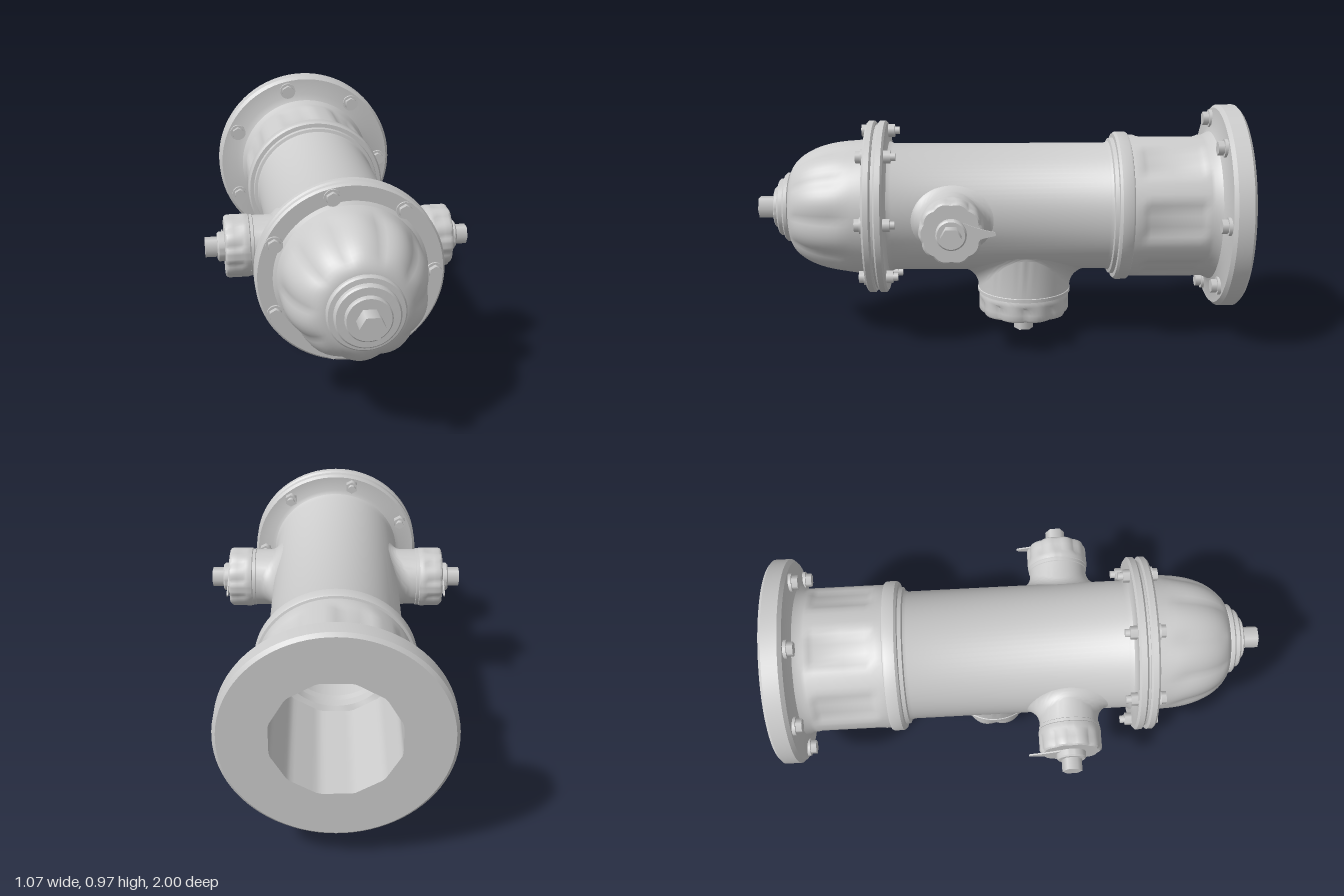
import * as THREE from 'three';
import { toCreasedNormals } from 'three/addons/utils/BufferGeometryUtils.js';

const AXIS_Y = 0.545;   // height of the barrel's axis
const BARREL_R = 0.266;
const BOLTS = 7;
const material = new THREE.MeshStandardMaterial({ color: 0xcccccc });
const doubleSided = new THREE.MeshStandardMaterial({ color: 0xcccccc, side: THREE.DoubleSide });

function add(parent, name, geometry, mat = material) {
  const mesh = new THREE.Mesh(geometry, mat);
  mesh.name = name;
  parent.add(mesh);
  return mesh;
}

// Lathe around y; scale(r, y, angle) may press flutes or panels into it
function turned(points, segments = 70, scale = null) {
  const geo = new THREE.LatheGeometry(points.map(([r, y]) => new THREE.Vector2(r, y)), segments);
  if (scale) {
    const p = geo.attributes.position;
    for (let i = 0; i < p.count; i++) {
      const x = p.getX(i), y = p.getY(i), z = p.getZ(i);
      const s = scale(Math.hypot(x, z), y, Math.atan2(x, z));
      p.setXYZ(i, x * s, y, z * s);
    }
  }
  return toCreasedNormals(geo, 0.6);
}

const prism = (r, from, to, sides = 6) =>
  new THREE.CylinderGeometry(r, r, to - from, sides).translate(0, (from + to) / 2, 0);

const smooth = THREE.MathUtils.smoothstep;

// Barrel with hollow base, base flange, panelled collar and front flange
function barrelGeometry() {
  const profile = [
    [0, 0.4], [0.2, 0.4], [0.2, -0.44], [0.215, -0.45], [0.215, -0.49], [0.24, -0.5], [0.24, -1],
    [0.412, -1], [0.425, -0.988], [0.425, -0.925], [0.412, -0.91], [0.34, -0.905], [0.312, -0.893], [0.299, -0.865],
    [0.299, -0.85], [0.299, -0.83], [0.299, -0.81], [0.299, -0.7], [0.299, -0.61], [0.299, -0.59], [0.299, -0.57],
    [0.299, -0.545], [0.308, -0.542], [0.312, -0.535], [0.312, -0.495], [0.305, -0.485], [0.288, -0.483],
    [0.285, -0.468], [0.272, -0.464], [BARREL_R, -0.45], [BARREL_R, 0.43], [0.275, 0.45], [0.29, 0.458],
    [0.352, 0.458], [0.362, 0.466], [0.362, 0.488], [0.354, 0.495], [0, 0.495],
  ];
  return turned(profile, 84, (r, y, a) => {
    if (r < 0.25 && y < -0.495) {                       // twelve-sided bore
      const step = Math.PI / 6;
      const d = a - Math.round(a / step) * step;
      return Math.cos(step / 2) / Math.cos(d);
    }
    if (r > 0.29 && r < 0.3 && y < -0.56 && y > -0.86) { // shallow panels in the collar
      const wave = Math.cos(BOLTS * (a - Math.PI / 2));
      const along = smooth(y, -0.85, -0.81) * (1 - smooth(y, -0.61, -0.57));
      return 1 - 0.05 * along * smooth(wave, -0.35, 0.35);
    }
    return 1;
  }).rotateX(Math.PI / 2);
}

// Fluted dome and its front flange
function bonnetGeometry() {
  const profile = [
    [0, 0.505], [0.354, 0.505], [0.362, 0.512], [0.362, 0.533], [0.354, 0.541], [0.296, 0.541], [0.283, 0.55],
  ];
  for (let i = 0; i <= 14; i++) {
    const t = i / 14;
    profile.push([0.125 + 0.155 * Math.cos(t * Math.PI / 2), 0.59 + 0.275 * Math.sin(t * Math.PI / 2)]);
  }
  profile.push([0, 0.866]);
  return turned(profile, 80, (r, y, a) => {
    const along = smooth(y, 0.57, 0.68) * (1 - smooth(y, 0.82, 0.865));
    return 1 - 0.055 * along * (1 - Math.abs(Math.cos(5 * a)));
  }).rotateX(Math.PI / 2);
}

function ringOfBolts(parent, name, radius, build) {
  for (let k = 0; k < BOLTS; k++) {
    const a = k * 2 * Math.PI / BOLTS;
    const bolt = new THREE.Group();
    bolt.name = name;
    bolt.rotation.x = Math.PI / 2;
    bolt.position.set(Math.cos(a) * radius, Math.sin(a) * radius, 0);
    build(bolt);
    parent.add(bolt);
  }
}

// Neck that flares onto the barrel: the fillet's foot follows the barrel's curve
function neckGeometry(radius, fillet, top) {
  const geo = new THREE.CylinderGeometry(1, 1, 1, 64, 12, true);
  const p = geo.attributes.position;
  for (let i = 0; i < p.count; i++) {
    const t = p.getY(i) + 0.5;
    const a = Math.atan2(p.getX(i), p.getZ(i));
    const f = 0.01 + (fillet - 0.01) * (1 - Math.sin(a) ** 2 * Math.min(1, radius / 0.2));
    const turn = Math.min(t / 0.92, 1) * Math.PI / 2;
    const r = radius + f * (1 - Math.sin(turn));
    const foot = Math.sqrt(Math.max(0, BARREL_R ** 2 - (r * Math.sin(a)) ** 2)) - 0.003;
    const y = t > 0.95 ? top : foot + f * (1 - Math.cos(turn));
    p.setXYZ(i, r * Math.sin(a), y, r * Math.cos(a));
  }
  return toCreasedNormals(geo, 0.6);
}

// Outlet along local y: neck, fluted cap, washer, hex nut and optional chain tab
function outlet({ name, z, turn, neckR, fillet, base, top, capR, discR, disc, end, tab }) {
  const g = new THREE.Group();
  g.name = name;
  g.position.z = z;
  g.rotation.z = turn;
  add(g, 'neck', neckGeometry(neckR, fillet, base + 0.005));
  add(g, 'neckRim', turned([[0, base - 0.015], [neckR - 0.004, base - 0.015], [neckR + 0.003, base - 0.01],
    [neckR + 0.003, base + 0.002], [0, base + 0.002]]));
  const h = top - base;
  const rows = [[0, base], [0.94, base], [0.985, base + 0.05 * h], [1, base + 0.14 * h], [1, base + 0.28 * h],
    [1, base + 0.4 * h], [1, base + 0.65 * h], [1, base + 0.86 * h], [0.975, base + 0.95 * h], [0.92, top], [0, top]];
  add(g, 'cap', turned(rows.map(([r, y]) => [r * capR, y]), 80, (r, y, a) => {
    const along = smooth(y, base + 0.25 * h, base + 0.45 * h);
    return r < 0.5 * capR ? 1 : 1 - 0.06 * along * (1 - Math.abs(Math.cos(5 * a)));
  }));
  add(g, 'washer', turned([[0, top - 0.005], [discR, top - 0.005], [discR, disc - 0.006],
    [discR - 0.006, disc], [0, disc]], 40));
  add(g, 'nut', prism(0.041, disc - 0.005, end));
  if (tab) {
    const shape = new THREE.Shape();
    shape.moveTo(-0.045, 0.045);
    shape.quadraticCurveTo(-0.02, 0.1, -0.008, 0.165);
    shape.quadraticCurveTo(0, 0.178, 0.008, 0.165);
    shape.quadraticCurveTo(0.02, 0.1, 0.045, 0.045);
    const geo = new THREE.ExtrudeGeometry(shape, { depth: 0.006, bevelEnabled: false });
    add(g, 'chainTab', geo.rotateX(-Math.PI / 2).translate(0, top, 0), doubleSided);
  }
  return g;
}

export function createModel() {
  const model = new THREE.Group();
  model.name = 'hydrant';
  const body = new THREE.Group();
  body.name = 'body';
  body.position.y = AXIS_Y;
  model.add(body);

  add(body, 'barrel', barrelGeometry());
  add(body, 'gasket', prism(0.346, 0.49, 0.51, 56).rotateX(Math.PI / 2));
  add(body, 'bonnet', bonnetGeometry());

  // Stepped hub and operating nut at the tip of the dome
  add(body, 'hub', turned([[0, 0.86], [0.137, 0.86], [0.144, 0.867], [0.144, 0.88], [0.138, 0.886], [0.12, 0.888],
    [0.12, 0.906], [0.114, 0.912], [0.085, 0.913], [0.085, 0.928], [0.08, 0.932], [0, 0.932]], 56).rotateX(Math.PI / 2));
  add(body, 'operatingNut', prism(0.047, 0.925, 1).rotateY(Math.PI / 2).rotateX(Math.PI / 2));

  // Through bolts of the front flange, and bolts of the base flange
  ringOfBolts(body, 'flangeBolt', 0.32, (b) => {
    add(b, 'washer', prism(0.033, 0.535, 0.549, 20));
    add(b, 'head', prism(0.026, 0.545, 0.57));
    add(b, 'backNut', prism(0.027, 0.43, 0.462));
    add(b, 'stud', prism(0.016, 0.41, 0.44, 14));
  });
  ringOfBolts(body, 'baseBolt', 0.367, (b) => {
    add(b, 'washer', prism(0.037, -0.915, -0.896, 20));
    add(b, 'head', prism(0.029, -0.9, -0.872));
  });

  // Two hose outlets at the sides and the large outlet underneath
  for (const side of [1, -1]) {
    body.add(outlet({
      name: side > 0 ? 'leftOutlet' : 'rightOutlet', z: 0.185, turn: -side * Math.PI / 2, neckR: 0.12, fillet: 0.065,
      base: 0.355, top: 0.457, capR: 0.127, discR: 0.06, disc: 0.486, end: 0.535, tab: true,
    }));
  }
  body.add(outlet({
    name: 'largeOutlet', z: -0.115, turn: Math.PI, neckR: 0.195, fillet: 0.085,
    base: 0.365, top: 0.465, capR: 0.192, discR: 0.067, disc: 0.495, end: 0.545, tab: false,
  }));
  return model;
}
